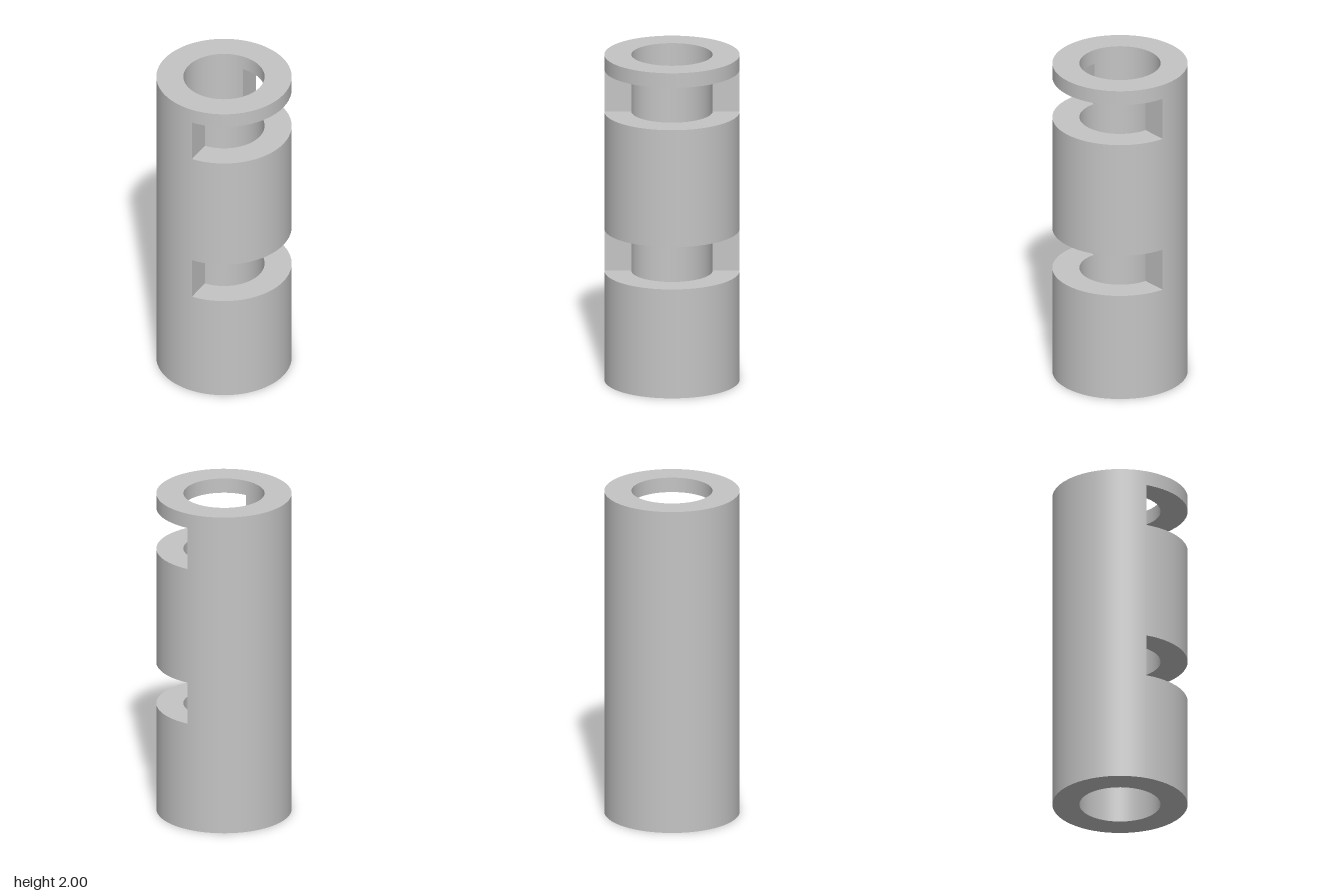
import * as THREE from 'three';
import { mergeGeometries } from 'three/addons/utils/BufferGeometryUtils.js';

const OUTER = 0.4, INNER = 0.24, HEIGHT = 2, HALF_SEGMENTS = 32;
const SLOTS = [[0.67, 0.93], [1.65, 1.91]]; // bottom and top of each slot

// Half a tube: each edge of its section is turned separately to keep the rims sharp
function halfTube(bottom, top, startAngle) {
  const section = [[OUTER, bottom], [OUTER, top], [INNER, top], [INNER, bottom]]
    .map(([r, y]) => new THREE.Vector2(r, y));
  return mergeGeometries(section.map((p, i) =>
    new THREE.LatheGeometry([p, section[(i + 1) % 4]], HALF_SEGMENTS, startAngle, Math.PI)));
}

export function createModel() {
  const grey = new THREE.MeshStandardMaterial({ color: 0xc4c4c4 });
  grey.name = 'grey';
  const group = new THREE.Group();
  group.name = 'slottedTube';
  const add = (name, geometry) => {
    const mesh = new THREE.Mesh(geometry, grey);
    mesh.name = name;
    group.add(mesh);
  };

  // Unbroken half on the -x side
  add('solidHalf', halfTube(0, HEIGHT, Math.PI));

  // Half-ring bands between the slots on the +x side
  const levels = [0, ...SLOTS.flat(), HEIGHT];
  ['lowerBand', 'middleBand', 'upperBand'].forEach((name, i) =>
    add(name, halfTube(levels[2 * i], levels[2 * i + 1], 0)));

  // Flat walls at the back of each slot, on both sides of the bore
  SLOTS.forEach(([bottom, top], i) => {
    const walls = [-1, 1].map((side) =>
      new THREE.PlaneGeometry(OUTER - INNER, top - bottom)
        .rotateY(Math.PI / 2)
        .translate(0, (bottom + top) / 2, side * (OUTER + INNER) / 2));
    add(i === 0 ? 'lowerSlotWalls' : 'upperSlotWalls', mergeGeometries(walls));
  });

  return group;
}
